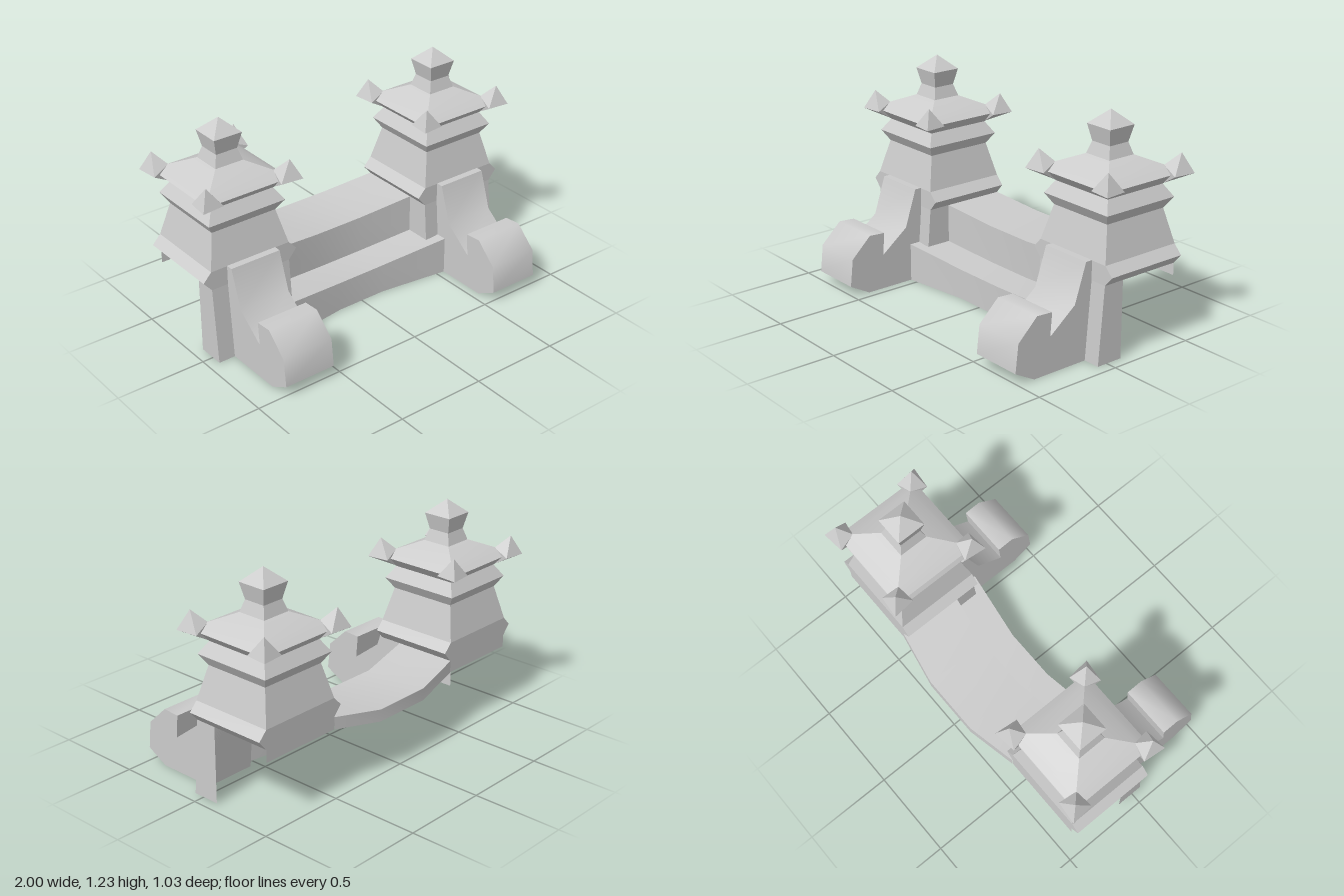
import * as THREE from 'three';
import { toCreasedNormals } from 'three/addons/utils/BufferGeometryUtils.js';
import { ConvexGeometry } from 'three/addons/geometries/ConvexGeometry.js';

const material = new THREE.MeshStandardMaterial({ color: 0xcccccc, side: THREE.DoubleSide });
const CX = 0.7, CZ = -0.213; // tower centre

// Skin neighbouring rows of [x, y, z] points with quads.
function skin(rows, crease = 0.5) {
  const pos = [];
  for (let r = 0; r < rows.length - 1; r++) {
    for (let i = 0; i < rows[r].length - 1; i++) {
      const a = rows[r][i], b = rows[r][i + 1], c = rows[r + 1][i + 1], d = rows[r + 1][i];
      pos.push(...a, ...b, ...c, ...a, ...c, ...d);
    }
  }
  const g = new THREE.BufferGeometry();
  g.setAttribute('position', new THREE.Float32BufferAttribute(pos, 3));
  return toCreasedNormals(g, crease);
}

function add(group, name, geometry) {
  const mesh = new THREE.Mesh(geometry, material);
  mesh.name = name;
  group.add(mesh);
  return mesh;
}

// Stack of rectangular rings, each [y, half width, half depth].
function tieredBody(rings) {
  return skin(rings.map(([y, hx, hz = hx]) =>
    [[-1, 1], [1, 1], [1, -1], [-1, -1], [-1, 1]].map(([sx, sz]) => [sx * hx, y, sz * hz])), 0.2);
}

// Row symmetric in x: outer point, inner point, and their mirror images.
function symmetricRow([xo, yo, zo], [xi, yi, zi]) {
  return [[-xo, yo, zo], [-xi, yi, zi], [xi, yi, zi], [xo, yo, zo]];
}

function makeTower(side) {
  const tower = new THREE.Group();
  tower.name = side > 0 ? 'leftTower' : 'rightTower';

  const top = new THREE.Group();
  top.name = 'towerTop';
  top.position.set(side * CX, 0, CZ);
  tower.add(top);

  add(top, 'towerBody', tieredBody([
    [0.425, 0.238, 0.24], [0.48, 0.285, 0.24], [0.53, 0.238, 0.24],
    [0.72, 0.193], [0.78, 0.23], [0.847, 0.188], [0.907, 0.25],
  ]));
  add(top, 'roof', tieredBody([[0.907, 0.25], [0.945, 0.195], [0.995, 0.083]]));
  add(top, 'finial', tieredBody([[0.995, 0.083], [1.06, 0.063], [1.15, 0.083], [1.227, 0]]));

  // Upturned points on the four roof corners
  for (const sx of [-1, 1]) for (const sz of [-1, 1]) {
    const points = [
      [0.298, 0.907, 0.298], [0.285, 0.907, 0.172], [0.172, 0.907, 0.285],
      [0.25, 1.013, 0.25], [0.19, 0.945, 0.19], [0.19, 0.85, 0.19],
    ].map(([x, y, z]) => new THREE.Vector3(x * sx, y, z * sz));
    add(top, 'roofCorner', new ConvexGeometry(points));
  }

  // Thin walls that carry the front of the tower
  const s = (x, y, z) => [side * x, y, z];
  add(tower, 'legFront', skin([
    [s(0.548, 0, 0.06), s(0.938, 0, 0.06)],
    [s(0.548, 0.425, 0.027), s(0.938, 0.425, 0.027)],
  ]));
  add(tower, 'legOuterSide', skin([
    [s(0.938, 0, 0.06), s(0.938, 0, -0.095)],
    [s(0.938, 0.425, 0.027), s(0.938, 0.425, -0.095)],
  ]));
  add(tower, 'legInnerCorner', skin([
    [s(0.548, 0.21, 0.044), s(0.462, 0.21, 0.044), s(0.462, 0.21, -0.1)],
    [s(0.548, 0.425, 0.027), s(0.462, 0.425, 0.027), s(0.462, 0.425, -0.1)],
  ]));

  // Scrolled foot: side profile in (z, y), extruded across x
  const profile = [
    [0.06, 0], [0.395, 0], [0.515, 0.065], [0.498, 0.22], [0.38, 0.332], [0.284, 0.326],
    [0.294, 0.198], [0.135, 0.322], [0.066, 0.532], [0.027, 0.532], [0.027, 0.425],
  ].map(([z, y]) => new THREE.Vector2(z, y));
  const width = 0.295;
  const footGeometry = new THREE.ExtrudeGeometry(new THREE.Shape(profile), { depth: width, bevelEnabled: false });
  footGeometry.rotateY(-Math.PI / 2);
  footGeometry.translate(side * 0.695 + width / 2, 0, 0);
  add(tower, 'scrollFoot', toCreasedNormals(footGeometry, 0.85));
  return tower;
}

export function createModel() {
  const model = new THREE.Group();
  model.name = 'gateWall';
  model.add(makeTower(1), makeTower(-1));

  // Sagging walkway between the towers
  const wall = new THREE.Group();
  wall.name = 'curvedWall';
  model.add(wall);
  const walkBack = symmetricRow([0.462, 0.425, -0.455], [0.17, 0.38, -0.507]);
  const rimBottom = walkBack.map(([x, y, z]) => [x, y - 0.068, z]);
  const walkFront = symmetricRow([0.462, 0.425, -0.1], [0.15, 0.38, -0.147]);
  const wallFoot = symmetricRow([0.462, 0.21, -0.1], [0.15, 0.17, -0.147]);
  add(wall, 'walkwayRim', skin([rimBottom, walkBack]));
  add(wall, 'walkway', skin([walkBack, walkFront]));
  add(wall, 'upperWall', skin([walkFront, wallFoot]));

  // Lower step in front of the wall
  const stepBack = symmetricRow([0.548, 0.215, -0.1], [0.15, 0.17, -0.147]);
  const stepFront = symmetricRow([0.548, 0.215, 0.105], [0.15, 0.17, 0.053]);
  const stepBottom = stepFront.map(([x, , z]) => [x, 0, z]);
  add(wall, 'step', skin([stepBack, stepFront]));
  add(wall, 'lowerWall', skin([stepFront, stepBottom]));

  // Rim continuing under the back of each tower
  for (const side of [-1, 1]) {
    add(wall, 'towerRim', skin([
      [[side * 0.462, 0.425, -0.453], [side * 0.938, 0.425, -0.453]],
      [[side * 0.462, 0.357, -0.453], [side * 0.938, 0.357, -0.453]],
    ]));
  }
  return model;
}
